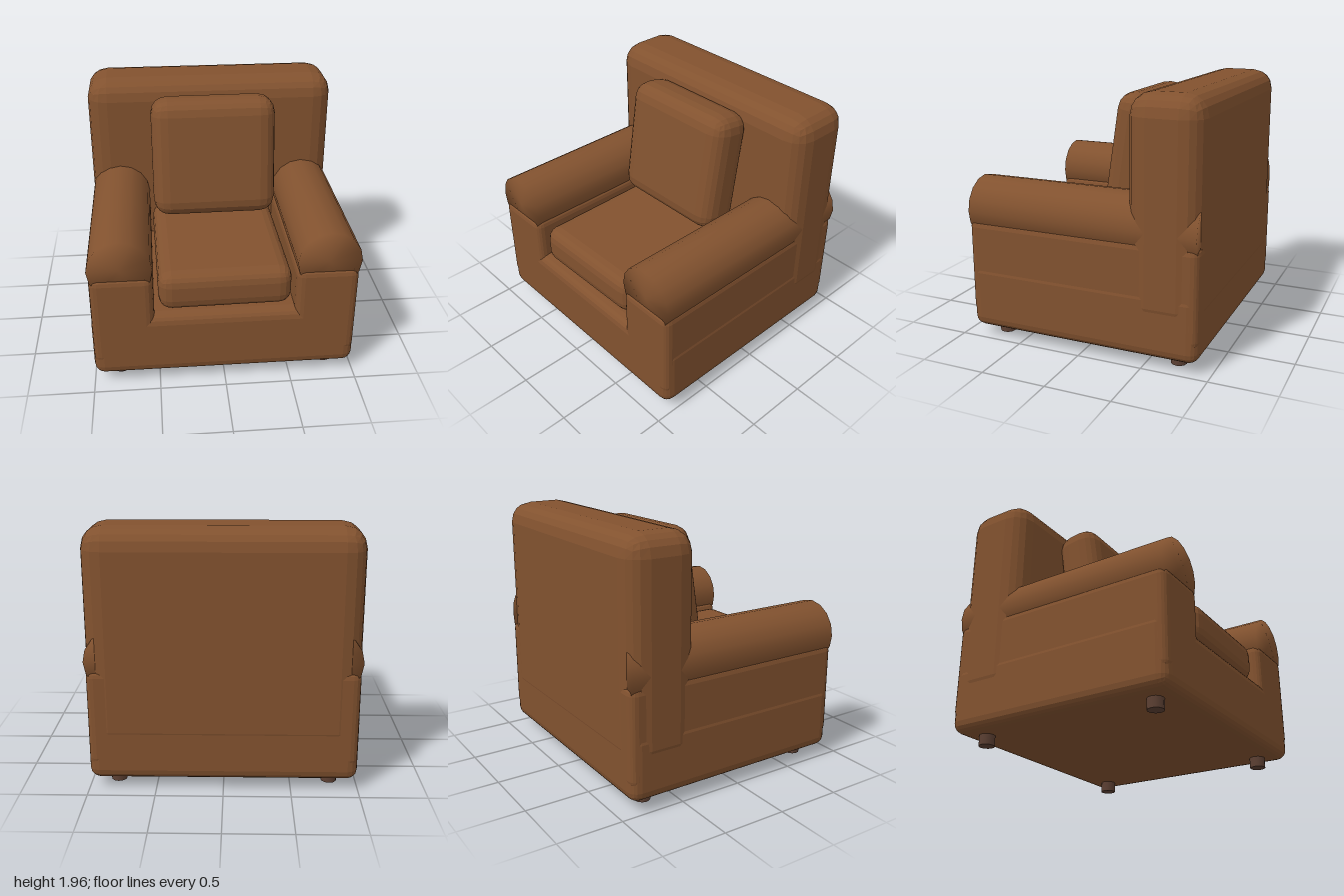
import * as THREE from 'three';
import { RoundedBoxGeometry } from 'three/addons/geometries/RoundedBoxGeometry.js';
import { mergeVertices } from 'three/addons/utils/BufferGeometryUtils.js';

const leather = new THREE.MeshStandardMaterial({ color: 0x82522f });
leather.name = 'brown leather';
const wood = new THREE.MeshStandardMaterial({ color: 0x5c4033 });
wood.name = 'dark wood';

// Box with faceted bevels, placed by its centre
function bevelBox(name, size, centre, radius, segments) {
  const geometry = new RoundedBoxGeometry(...size, segments, radius);
  geometry.computeVertexNormals(); // unshared vertices give flat facets
  const mesh = new THREE.Mesh(geometry, leather);
  mesh.name = name;
  mesh.position.set(...centre);
  return mesh;
}

// Padded roll on top of an arm, with normals blended over its ends
function armRoll(name, x) {
  let geometry = new THREE.CylinderGeometry(0.237, 0.237, 1.8, 16);
  geometry.deleteAttribute('normal');
  geometry.deleteAttribute('uv');
  geometry = mergeVertices(geometry);
  geometry.rotateX(Math.PI / 2);
  geometry.computeVertexNormals();
  const mesh = new THREE.Mesh(geometry, leather);
  mesh.name = name;
  mesh.position.set(x, 1.003, 0);
  return mesh;
}

export function createModel() {
  const chair = new THREE.Group();
  chair.name = 'armchair';

  // Frame
  chair.add(bevelBox('base', [1.99, 0.52, 1.83], [0, 0.34, 0], 0.08, 2));
  chair.add(bevelBox('backrest', [2, 1.66, 0.555], [0, 1.13, -0.64], 0.16, 2));

  // Cushions, each slightly askew
  const seat = bevelBox('seatCushion', [1.0, 0.31, 1.25], [0, 0.76, 0.25], 0.1, 2);
  seat.rotation.y = 0.015;
  chair.add(seat);
  const back = bevelBox('backCushion', [0.99, 0.955, 0.36], [0, 1.402, -0.18], 0.13, 2);
  back.rotation.set(-0.148, 0.015, 0);
  chair.add(back);

  // Arms and feet, mirrored left and right
  for (const [side, s] of [['left', 1], ['right', -1]]) {
    chair.add(bevelBox(side + 'Arm', [0.465, 0.75, 1.83], [s * 0.758, 0.565, 0], 0.06, 2));
    chair.add(armRoll(side + 'ArmRoll', s * 0.762));
    for (const [end, z] of [['Front', 0.72], ['Back', -0.72]]) {
      const foot = new THREE.Mesh(new THREE.CylinderGeometry(0.06, 0.06, 0.12, 12), wood);
      foot.name = side + end + 'Foot';
      foot.position.set(s * 0.8, 0.06, z);
      chair.add(foot);
    }
  }
  return chair;
}
